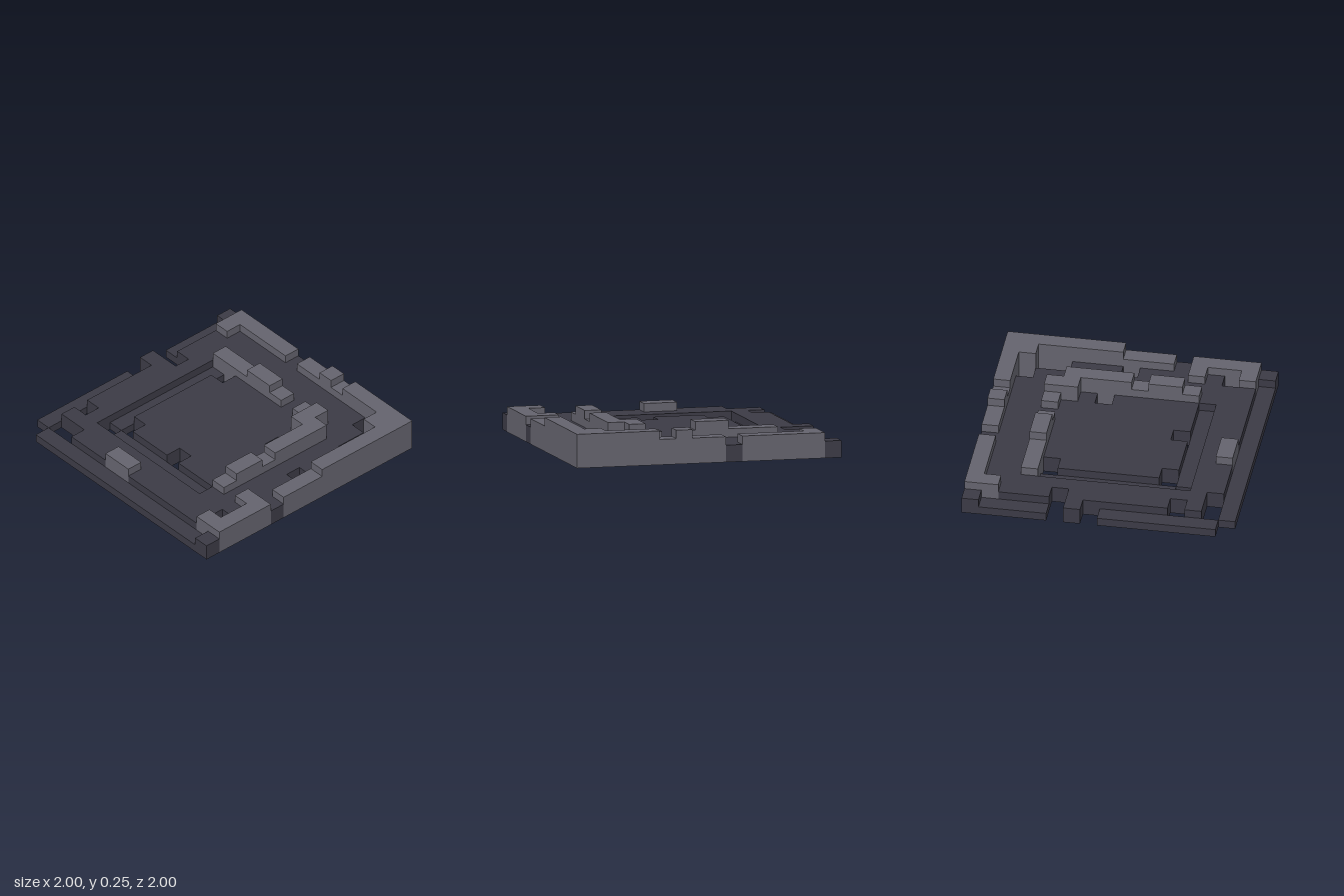
import * as THREE from 'three';

const CELL = 0.125; // width of one tile
const STEP = 0.0625; // height of one level

// Height levels per tile, back row first, 0 = gap
const PLAN = [
  '0111111102011112',
  '1020222222022233',
  '1022222222222223',
  '1220111111113223',
  '1221022222203223',
  '1221222222223223',
  '1321222222224222',
  '1321222222224223',
  '1221022222223223',
  '1221222222222224',
  '1221222222223223',
  '1221222220244224',
  '1222344344442224',
  '1222222222222204',
  '1302322202220044',
  '2333323334444444',
];

const levelAt = (c, r) => Number(PLAN[r]?.[c] ?? 0);

// Sort each tile into a named part
function partOf(c, r) {
  const level = levelAt(c, r);
  const inner = c >= 3 && c <= 12 && r >= 3 && r <= 12;
  if (level === 0) return null;
  if (level === 1) return inner ? 'trench' : 'lowRim';
  if (level === 2) return inner ? 'innerFloor' : 'outerFloor';
  return inner ? 'innerWall' : 'outerWall';
}

// Visible faces of all the columns in one part
function columnsGeometry(part) {
  const pos = [];
  const index = [];
  const quad = (...corners) => {
    const n = pos.length / 3;
    corners.forEach((p) => pos.push(...p));
    index.push(n, n + 1, n + 2, n, n + 2, n + 3);
  };
  for (let r = 0; r < 16; r++) {
    for (let c = 0; c < 16; c++) {
      if (partOf(c, r) !== part) continue;
      const x0 = c * CELL - 1, x1 = x0 + CELL;
      const z0 = r * CELL - 1, z1 = z0 + CELL;
      const y = levelAt(c, r) * STEP;
      // top and underside
      quad([x0, y, z1], [x1, y, z1], [x1, y, z0], [x0, y, z0]);
      quad([x0, 0, z0], [x1, 0, z0], [x1, 0, z1], [x0, 0, z1]);
      // side walls down to each lower neighbour
      const sides = [
        [0, 1, x0, z1, x1, z1],
        [1, 0, x1, z1, x1, z0],
        [0, -1, x1, z0, x0, z0],
        [-1, 0, x0, z0, x0, z1],
      ];
      for (const [dc, dr, ax, az, bx, bz] of sides) {
        const b = levelAt(c + dc, r + dr) * STEP;
        if (b < y) quad([ax, b, az], [bx, b, bz], [bx, y, bz], [ax, y, az]);
      }
    }
  }
  const geometry = new THREE.BufferGeometry();
  geometry.setAttribute('position', new THREE.Float32BufferAttribute(pos, 3));
  geometry.setIndex(index);
  geometry.computeVertexNormals();
  return geometry;
}

export function createModel() {
  const darkStone = new THREE.MeshStandardMaterial({ color: 0x3b3a45 });
  darkStone.name = 'darkStone';
  const lightStone = new THREE.MeshStandardMaterial({ color: 0x64636d });
  lightStone.name = 'lightStone';

  const parts = {
    lowRim: darkStone,
    outerFloor: darkStone,
    trench: darkStone,
    innerFloor: darkStone,
    innerWall: lightStone,
    outerWall: lightStone,
  };

  const model = new THREE.Group();
  model.name = 'ruinedFoundation';
  for (const [name, material] of Object.entries(parts)) {
    const mesh = new THREE.Mesh(columnsGeometry(name), material);
    mesh.name = name;
    model.add(mesh);
  }
  return model;
}
